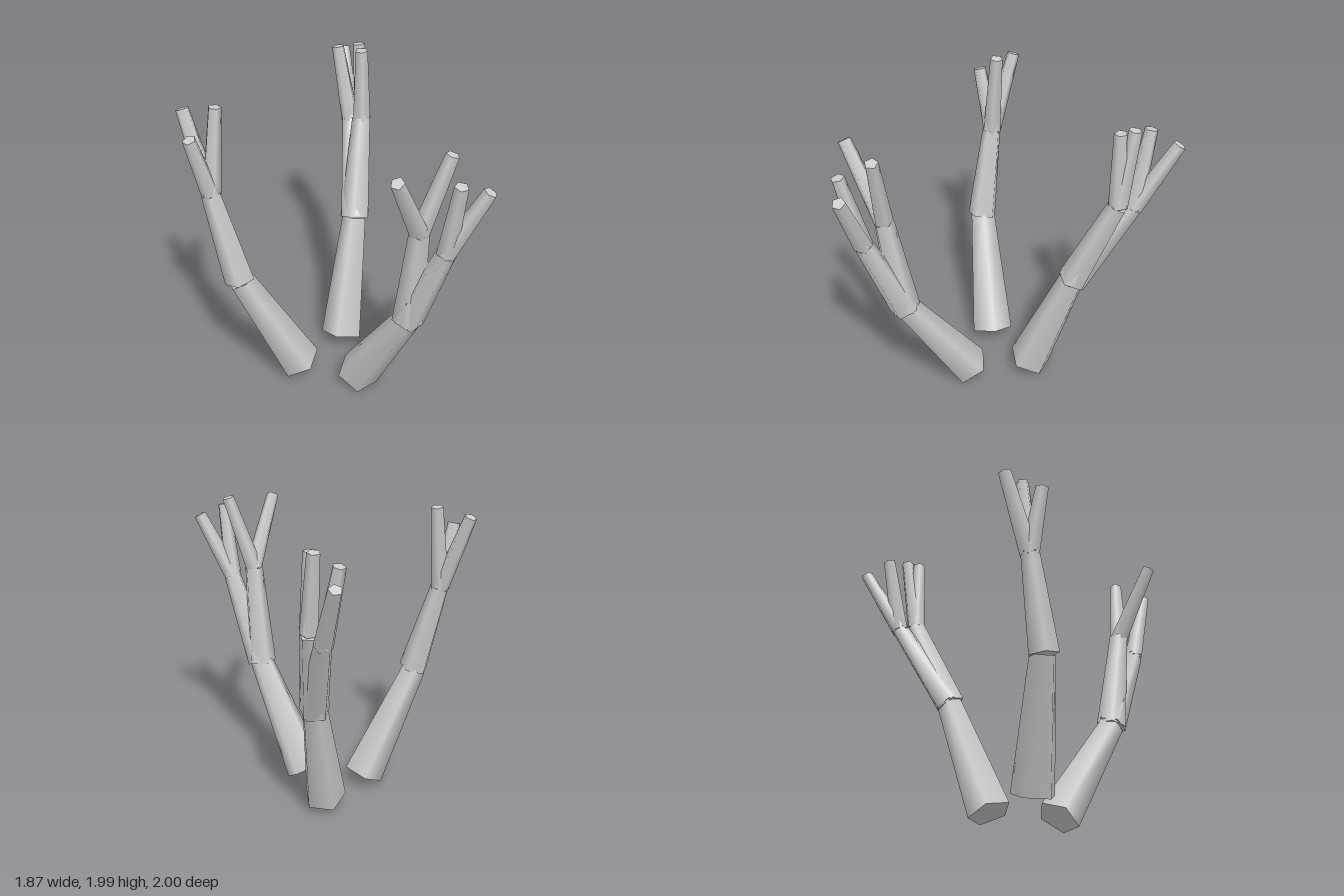
import * as THREE from 'three';

const UP = new THREE.Vector3(0, 1, 0);

// Tapered five-sided limb from a to b, one corner turned to the upper side
function limb(name, a, b, r0, r1, material) {
  const start = new THREE.Vector3(...a);
  const end = new THREE.Vector3(...b);
  const axis = end.clone().sub(start);
  const length = axis.length();
  axis.normalize();
  const corner = UP.clone().addScaledVector(axis, -axis.y).normalize();
  const side = axis.clone().cross(corner);
  const mesh = new THREE.Mesh(new THREE.CylinderGeometry(r1, r0, length, 5), material);
  mesh.quaternion.setFromRotationMatrix(new THREE.Matrix4().makeBasis(side, axis, corner));
  mesh.position.copy(start).add(end).multiplyScalar(0.5);
  mesh.name = name;
  return mesh;
}

// Each stem: a trunk that forks into branches, each forking into twigs
const STEMS = [
  {
    name: 'rightStem', base: [-0.235, 0.08, 0.25], fork: [-0.58, 0.825, 0.39],
    branches: [
      { end: [-0.735, 1.42, 0.35], r: 0.064, twigs: [[-0.9, 1.93, 0.235], [-0.82, 1.835, 0.45], [-0.69, 1.98, 0.3]] },
    ],
  },
  {
    name: 'backStem', base: [0.03, 0.08, -0.085], fork: [0.09, 0.86, -0.375],
    branches: [
      { end: [0.11, 1.475, -0.64], r: 0.064, twigs: [[0.08, 1.985, -0.71], [0.105, 1.97, -0.63]] },
      { end: [0.03, 1.43, -0.725], r: 0.058, twigs: [[-0.06, 1.93, -0.79], [-0.04, 1.855, -0.965]] },
    ],
  },
  {
    name: 'leftStem', base: [0.165, 0.06, 0.32], fork: [0.485, 0.77, 0.635],
    branches: [
      { end: [0.53, 1.44, 0.71], r: 0.064, twigs: [[0.4, 1.9, 0.96], [0.69, 1.94, 0.69]] },
      { end: [0.685, 1.36, 0.79], r: 0.06, twigs: [[0.74, 1.85, 0.88], [0.9, 1.79, 0.82]] },
    ],
  },
];

export function createModel() {
  const bark = new THREE.MeshStandardMaterial({ color: 0xcccccc });
  bark.name = 'pale grey bark';

  const model = new THREE.Group();
  model.name = 'branchingStems';
  for (const { name, base, fork, branches } of STEMS) {
    const stem = new THREE.Group();
    stem.name = name;
    stem.add(limb('trunk', base, fork, 0.143, 0.085, bark));
    for (const { end, r, twigs } of branches) {
      stem.add(limb('branch', fork, end, 0.1, r, bark));
      for (const tip of twigs) stem.add(limb('twig', end, tip, 0.061, 0.042, bark));
    }
    model.add(stem);
  }
  return model;
}
